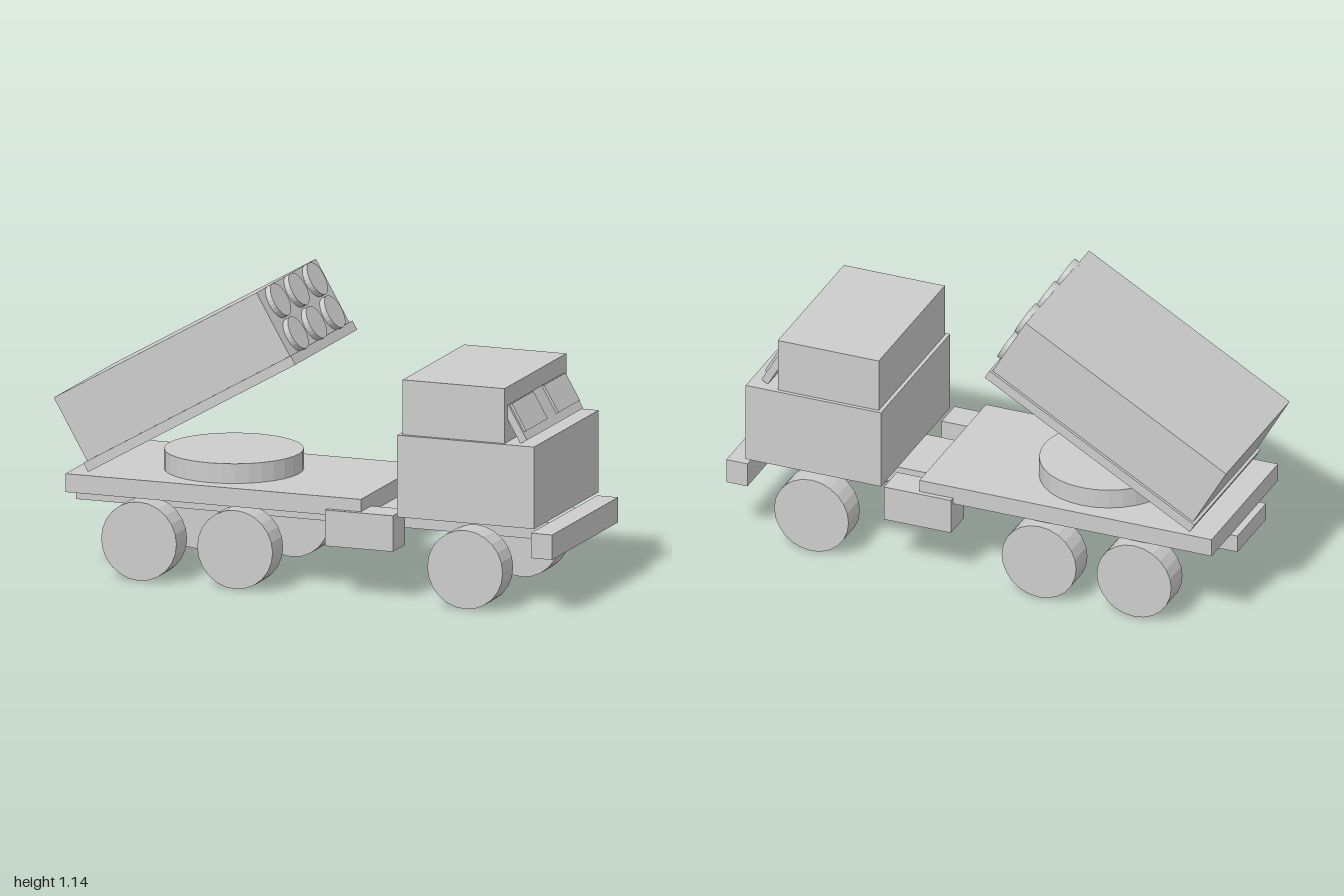
import * as THREE from 'three';

export function createModel() {
  const model = new THREE.Group();
  model.name = 'launcherTruck';
  const grey = new THREE.MeshStandardMaterial({ color: 0xcccccc });
  grey.name = 'light grey';

  const add = (parent, name, geometry, x, y, z) => {
    const mesh = new THREE.Mesh(geometry, grey);
    mesh.name = name;
    mesh.position.set(x, y, z);
    parent.add(mesh);
    return mesh;
  };
  // Box given by its extents along x and y and its range in z
  const box = (parent, name, x0, x1, y0, y1, z0, z1) =>
    add(parent, name, new THREE.BoxGeometry(x1 - x0, y1 - y0, z1 - z0),
      (x0 + x1) / 2, (y0 + y1) / 2, (z0 + z1) / 2);
  // Faceted disc whose axis is y
  const disc = (r, h, sides) => {
    const g = new THREE.CylinderGeometry(r, r, h, sides).toNonIndexed();
    g.computeVertexNormals();
    return g;
  };

  // Chassis, bumper and load deck
  box(model, 'chassis', -0.975, 0.95, 0.24, 0.307, -0.137, 0.137);
  box(model, 'bumper', 0.915, 1, 0.215, 0.31, -0.337, 0.337);
  box(model, 'deck', -0.947, 0.23, 0.307, 0.377, -0.317, 0.317);

  // Cab
  box(model, 'cabLower', 0.38, 0.925, 0.325, 0.637, -0.33, 0.33);
  box(model, 'cabUpper', 0.395, 0.802, 0.637, 0.846, -0.315, 0.315);

  // Sloping windscreen with two raised panes; origin on the lower front edge
  const windscreen = new THREE.Group();
  windscreen.name = 'windscreen';
  windscreen.position.set(0.88, 0.65, 0);
  windscreen.rotation.z = Math.PI / 6;
  model.add(windscreen);
  box(windscreen, 'windscreenFrame', -0.03, 0, 0, 0.15, -0.287, 0.287);

  for (const side of [-1, 1]) {
    const [a, b] = side > 0 ? [0.054, 0.274] : [-0.274, -0.054];
    box(windscreen, 'windowPane', 0, 0.0095, 0.032, 0.147, a, b);

    // Side tanks
    const [c, d] = side > 0 ? [0.213, 0.337] : [-0.337, -0.213];
    box(model, 'sideTank', 0.095, 0.365, 0.193, 0.33, c, d);

    // Wheels
    for (const x of [-0.645, -0.262, 0.655]) {
      add(model, 'wheel', disc(0.15, 0.108, 24), x, 0.15, side * 0.289)
        .rotation.x = Math.PI / 2;
    }
  }

  // Turntable
  add(model, 'turntable', disc(0.26, 0.075, 32), -0.4, 0.4145, 0);

  // Raised launcher, built level about the origin and tilted 30 degrees
  const launcher = new THREE.Group();
  launcher.name = 'launcher';
  launcher.rotation.z = Math.PI / 6;
  model.add(launcher);
  box(launcher, 'launcherBase', -0.548, 0.406, 0.767, 0.805, -0.315, 0.315);
  box(launcher, 'launcherBox', -0.536, 0.397, 0.805, 1.071, -0.303, 0.303);
  for (const y of [0.867, 1.006]) {
    for (const z of [-0.187, 0, 0.187]) {
      add(launcher, 'tubeCap', disc(0.066, 0.03, 24), 0.404, y, z)
        .rotation.z = -Math.PI / 2;
    }
  }
  return model;
}
